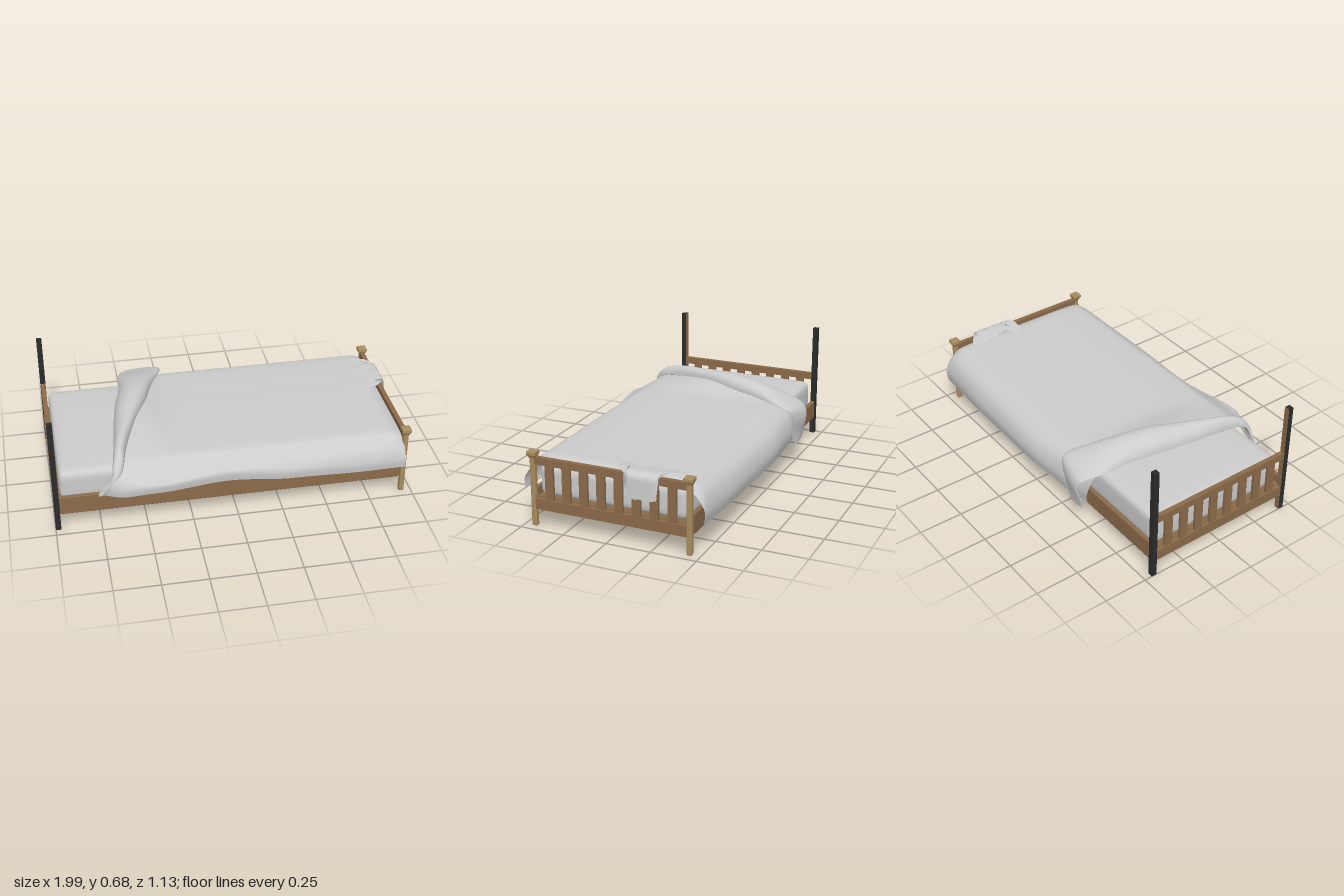
import * as THREE from 'three';
import { RoundedBoxGeometry } from 'three/addons/geometries/RoundedBoxGeometry.js';
import { mergeVertices } from 'three/addons/utils/BufferGeometryUtils.js';

const V = (x, y, z) => new THREE.Vector3(x, y, z);
const { clamp, lerp, smoothstep } = THREE.MathUtils;

// Smooth surface through a grid of points
function surface(rows) {
  const w = rows[0].length, idx = [];
  for (let i = 0; i < rows.length - 1; i++)
    for (let j = 0; j < w - 1; j++) {
      const a = i * w + j, b = a + 1, c = a + w, d = c + 1;
      idx.push(a, b, c, b, d, c);
    }
  const g = new THREE.BufferGeometry().setFromPoints(rows.flat());
  g.setIndex(idx);
  g.computeVertexNormals();
  return g;
}

// Eased lookup in a table whose first column is the ascending key
function lookup(table, k) {
  let i = 0;
  while (i < table.length - 2 && k > table[i + 1][0]) i++;
  const a = table[i], b = table[i + 1];
  const t = smoothstep(k, a[0], b[0]);
  return a.map((v, n) => v + (b[n] - v) * t);
}

// Catmull-Rom through table rows, t from 0 to 1
function spline(table, t) {
  const n = table.length - 1, i = Math.min(Math.floor(t * n), n - 1), f = t * n - i;
  const p = table[Math.max(i - 1, 0)], a = table[i], b = table[i + 1], q = table[Math.min(i + 2, n)];
  return a.map((v, c) => {
    const m0 = (b[c] - p[c]) / 2, m1 = (q[c] - v) / 2, d = b[c] - v;
    return v + f * (m0 + f * (3 * d - 2 * m0 - m1 + f * (m0 + m1 - 2 * d)));
  });
}

// Mattress: rounded block with a slightly crowned top
function mattressGeometry(w, h, d, radius, crown) {
  const box = new THREE.BoxGeometry(2, 2, 2, 24, 12, 24);
  box.deleteAttribute('uv');
  box.deleteAttribute('normal');
  const g = mergeVertices(box), pos = g.attributes.position, half = V(w / 2, h / 2, d / 2);
  const core = half.clone().subScalar(radius);
  for (let i = 0; i < pos.count; i++) {
    const p = V(...[pos.getX(i), pos.getY(i), pos.getZ(i)].map(c => Math.sin(c * Math.PI / 2)));
    const swell = p.y > 0 ? crown * p.y * (1 - p.x ** 4) * (1 - p.z ** 4) : 0;
    p.multiply(half);
    const inner = p.clone().clamp(core.clone().negate(), core);
    p.sub(inner).setLength(radius).add(inner);
    pos.setXYZ(i, p.x, p.y + swell, p.z);
  }
  g.computeVertexNormals();
  return g;
}

// Blanket draped over the mattress: hems at both sides, slanted head edge
function blanketGeometry() {
  // x, half width at the hem, hem height
  const frontHem = [[-0.76, 0.47, 0.21], [-0.62, 0.525, 0.215], [-0.46, 0.563, 0.25], [-0.05, 0.508, 0.24],
    [0.3, 0.522, 0.22], [0.7, 0.515, 0.205], [0.94, 0.505, 0.2]];
  const backHem = [[-0.5, 0.5, 0.16], [-0.3, 0.527, 0.16], [0, 0.547, 0.165], [0.5, 0.537, 0.16], [0.94, 0.52, 0.16]];
  const headEdge = [[0, -0.48], [0.25, -0.52], [0.5, -0.59], [0.76, -0.66], [1, -0.76]];
  const rows = [];
  for (let i = 0; i <= 48; i++) {
    const row = [];
    for (let j = 0; j <= 44; j++) {
      const u = j / 44, x = lerp(lookup(headEdge, u)[1], 0.938, i / 48);
      const [, wf, hf] = lookup(frontHem, x), [, wb, hb] = lookup(backHem, x);
      const top = 0.387 - 0.03 * smoothstep(x, 0.89, 0.94);
      const raised = top + 0.035 * (1 - smoothstep(x, -0.5, -0.28));
      const section = [[hb, -wb + 0.01], [hb + 0.07, -wb], [top - 0.075, lerp(-0.45, -wb, 0.7)], [top - 0.025, -0.453],
        [top - 0.003, -0.39], [raised, -0.14], [raised, 0.1], [top - 0.003, 0.37], [top - 0.024, 0.438],
        [top - 0.07, lerp(0.45, wf, 0.6)], [hf + 0.05, wf - 0.003], [hf, wf - 0.006]];
      const [y, z] = spline(section, u);
      row.push(V(x, y, z));
    }
    rows.push(row);
  }
  return surface(rows);
}

// Turned-back end of the blanket: a soft padded band hanging off both sides
function foldGeometry() {
  // z, head-side x, head-side y, foot-side x, foot-side y, padding, tilt of the padding, z shift of the foot side
  const stations = [
    [0.475, -0.76, 0.21, -0.71, 0.22, 0.008, -1.3, 0],
    [0.475, -0.69, 0.3, -0.64, 0.31, 0.02, -0.9, 0],
    [0.43, -0.672, 0.365, -0.61, 0.37, 0.035, -0.3, 0],
    [0.32, -0.655, 0.38, -0.585, 0.395, 0.06, 0, 0],
    [0.1, -0.63, 0.385, -0.51, 0.42, 0.062, 0, 0],
    [-0.1, -0.6, 0.385, -0.425, 0.415, 0.077, 0, 0],
    [-0.29, -0.56, 0.38, -0.365, 0.4, 0.068, 0, 0],
    [-0.44, -0.55, 0.37, -0.3, 0.385, 0.03, 0.2, 0],
    [-0.535, -0.51, 0.345, -0.295, 0.365, 0.015, 0.6, 0.02],
    [-0.56, -0.48, 0.29, -0.32, 0.3, 0.012, 1.3, 0.03],
    [-0.54, -0.5, 0.21, -0.35, 0.2, 0.015, 1.5, 0.02],
    [-0.53, -0.49, 0.15, -0.38, 0.14, 0.008, 1.6, 0]];
  const rows = [];
  for (let i = 0; i <= 60; i++) {
    const [z, xl, yl, xr, yr, pad, tilt, shift] = spline(stations, i / 60), row = [];
    for (let j = 0; j <= 24; j++) {
      const a = j / 24 * Math.PI * 2, s = (1 - Math.cos(a)) / 2;
      const lift = a < Math.PI ? pad * Math.pow(Math.abs(Math.sin(a)), 0.9) : pad * 0.1 * Math.sin(a);
      row.push(V(lerp(xl, xr, s), lerp(yl, yr, s) + lift * Math.cos(tilt), z + shift * s - lift * Math.sin(tilt)));
    }
    rows.push(row);
  }
  return surface(rows);
}

// Small garment lying on the bed and bent over the foot rail
function garmentGeometry() {
  // z, start and end of the cloth measured along its length
  const columns = [[-0.36, 0.845, 0.875], [-0.32, 0.835, 0.93], [-0.286, 0.835, 0.975], [-0.28, 0.84, 1.095],
    [-0.25, 0.86, 1.1], [-0.225, 0.83, 1.105], [-0.18, 0.87, 1.1], [-0.17, 0.87, 1.105], [-0.125, 0.88, 1.1],
    [-0.102, 0.865, 1.09], [-0.095, 0.835, 0.975], [-0.06, 0.825, 0.955], [-0.03, 0.86, 0.92]];
  return surface(columns.map(([z, s0, s1]) => {
    const col = [];
    for (let i = 0; i <= 24; i++) {
      const s = lerp(s0, s1, i / 24), a = clamp((s - 0.95) / 0.05, 0, 1) * Math.PI / 2;
      const drop = Math.max(s - 1, 0), ripple = 0.002 * Math.sin(z * 70), slope = 0.15 * Math.max(0.92 - s, 0);
      col.push(V(Math.min(s, 0.95) + (0.037 + ripple) * Math.sin(a) + 0.05 * drop,
        0.408 - slope - 0.035 * (1 - Math.cos(a)) - drop + ripple * Math.cos(a), z));
    }
    return col;
  }));
}

export function createModel() {
  const bed = new THREE.Group();
  bed.name = 'bed';
  const material = (name, color) => Object.assign(new THREE.MeshStandardMaterial({ color }), { name });
  const wood = material('brown wood', 0x8b6b4a);
  const paleWood = material('pale wood', 0xa98d5f);
  const dark = material('dark post', 0x2b2c2c);
  const linen = material('linen', 0xcccccc);
  linen.side = THREE.DoubleSide;

  const add = (name, geometry, mat, x = 0, y = 0, z = 0) => {
    const mesh = new THREE.Mesh(geometry, mat);
    mesh.name = name;
    mesh.position.set(x, y, z);
    bed.add(mesh);
  };
  const box = (name, mat, w, h, d, x, y, z) => add(name, new THREE.BoxGeometry(w, h, d), mat, x, y, z);

  // Posts and side rails
  for (const s of [-1, 1]) {
    box('headPost', dark, 0.03, 0.68, 0.03, -0.985, 0.34, s * 0.442);
    add('footPost', new RoundedBoxGeometry(0.03, 0.4, 0.03, 3, 0.008), paleWood, 0.945, 0.2, s * 0.442);
    const flare = new THREE.CylinderGeometry(0.033, 0.021, 0.02, 4).rotateY(Math.PI / 4).toNonIndexed();
    flare.computeVertexNormals();
    add('postFlare', flare, paleWood, 0.945, 0.39, s * 0.442);
    add('postCap', new RoundedBoxGeometry(0.052, 0.022, 0.052, 2, 0.004), paleWood, 0.945, 0.408, s * 0.442);
    add('sideRail', new RoundedBoxGeometry(1.9, 0.11, 0.024, 3, 0.006), wood, -0.02, 0.155, s * 0.442);
  }
  box('postInnerFace', wood, 0.03, 0.68, 0.002, -0.985, 0.34, 0.426);

  // Slatted ends
  for (const x of [-0.985, 0.945]) {
    box('topRail', wood, 0.026, 0.04, 0.86, x, 0.369, 0);
    box('bottomRail', wood, 0.026, 0.06, 0.86, x, 0.128, 0);
    for (let i = 0; i < 8; i++) box('slat', wood, 0.016, 0.2, 0.048, x, 0.252, 0.348 - i * 0.0994);
  }

  // Recessed base panel and bedding
  box('base', wood, 1.905, 0.016, 0.865, -0.02, 0.156, 0);
  add('mattress', mattressGeometry(1.89, 0.178, 0.846, 0.04, 0.014), linen, -0.018, 0.254, 0);
  add('blanket', blanketGeometry(), linen);
  add('blanketFold', foldGeometry(), linen);
  add('garment', garmentGeometry(), linen);
  return bed;
}
